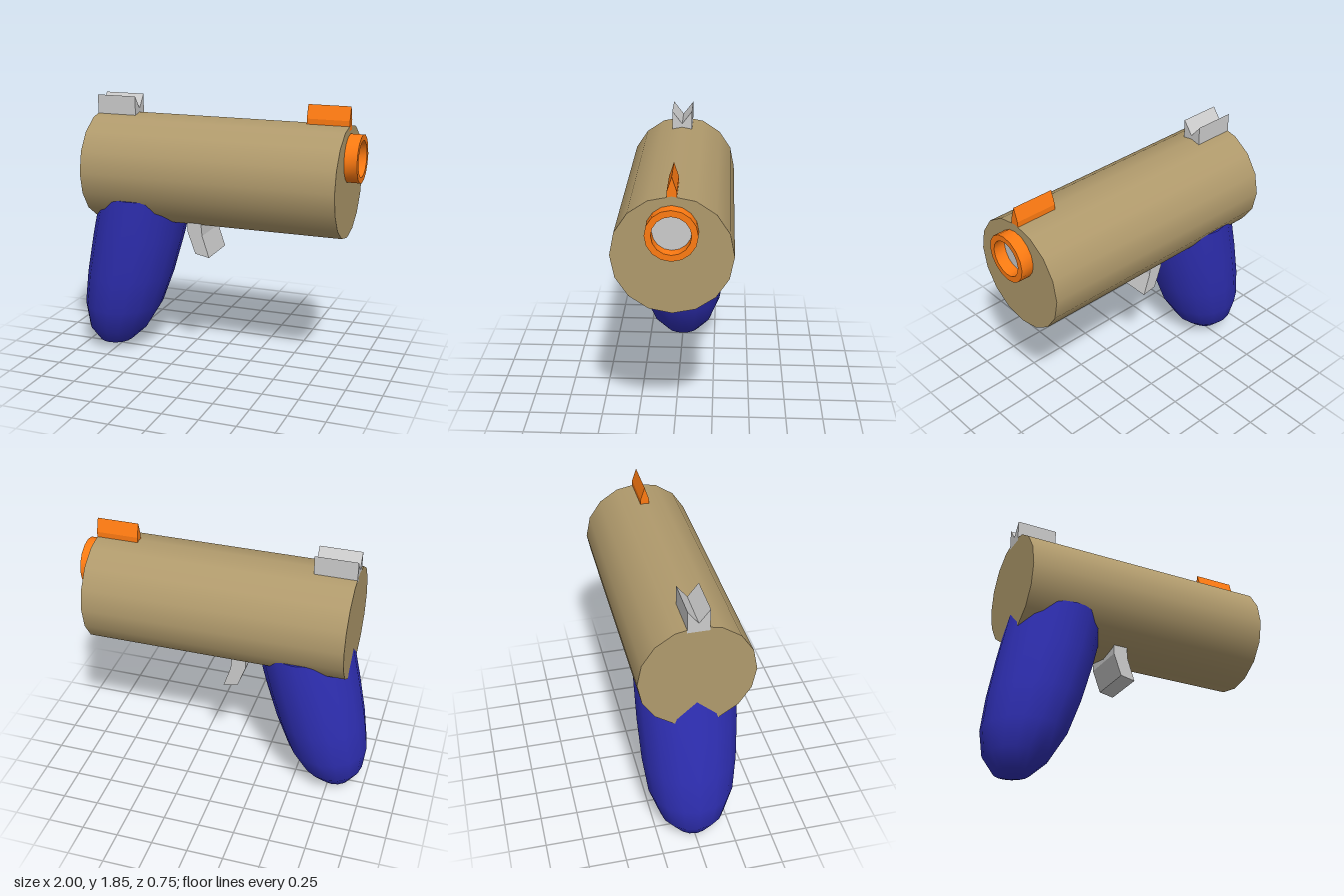
import * as THREE from 'three';
import { mergeVertices, toCreasedNormals } from 'three/addons/utils/BufferGeometryUtils.js';

export function createModel() {
  const model = new THREE.Group();
  const material = (color) => new THREE.MeshStandardMaterial({ color });
  const tan = material(0xb09a6c);
  const blue = material(0x2f2fb4);
  const orange = material(0xff7b12);
  const grey = material(0xcccccc);

  function add(name, geometry, mat, x = 0, y = 0, z = 0) {
    const mesh = new THREE.Mesh(geometry, mat);
    mesh.name = name;
    mesh.position.set(x, y, z);
    model.add(mesh);
    return mesh;
  }

  // Straight extrusion of an outline, starting at depth 0
  function prism(points, depth) {
    const shape = new THREE.Shape(points.map(([x, y]) => new THREE.Vector2(x, y)));
    return new THREE.ExtrudeGeometry(shape, { depth, bevelEnabled: false });
  }

  // Main body: a 16-sided drum lying along x
  add('body', new THREE.CylinderGeometry(0.375, 0.375, 1.765, 16).rotateZ(-Math.PI / 2), tan, 0.0325, 1.35);

  // Muzzle: a square-section ring with a disc at the bottom of its bore
  const ringProfile = [[0.12, 0], [0.16, 0], [0.16, 0.085], [0.12, 0.085], [0.12, 0]]
    .map(([r, h]) => new THREE.Vector2(r, h));
  const ring = new THREE.LatheGeometry(ringProfile, 16).rotateZ(-Math.PI / 2);
  add('muzzleRing', toCreasedNormals(ring, 0.6), orange, 0.915, 1.51);
  add('muzzleBore', new THREE.CircleGeometry(0.122, 16).rotateY(Math.PI / 2), grey, 0.92, 1.51);

  // Sights: outlines across z, swept along x
  const frontSight = [[-0.03, 1.69], [0.03, 1.69], [0.03, 1.755], [0, 1.845], [-0.03, 1.755]];
  add('frontSight', prism(frontSight, 0.285).rotateY(Math.PI / 2), orange, 0.63);
  const rearSight = [[-0.07, 1.69], [0.07, 1.69], [0.07, 1.84], [0, 1.75], [-0.07, 1.84]];
  add('rearSight', prism(rearSight, 0.28).rotateY(Math.PI / 2), grey, -0.85);

  // Trigger: a bent blade hanging under the body
  const trigger = [[-0.155, 1.04], [-0.155, 0.95], [-0.1, 0.8], [0, 0.78], [-0.05, 0.93], [-0.06, 1.04]];
  add('trigger', prism(trigger, 0.32), grey, 0, 0, -0.16);

  // Grip: rounded rings [radius, height, centre x] leaning back toward the foot
  const rings = [
    [0, 0, -0.8], [0.122, 0.04, -0.79], [0.219, 0.15, -0.765], [0.286, 0.33, -0.72],
    [0.316, 0.57, -0.66], [0.331, 0.86, -0.59], [0.335, 1.165, -0.52],
  ];
  let grip = new THREE.LatheGeometry(rings.map(([r, h]) => new THREE.Vector2(r, h)), 16);
  const pos = grip.attributes.position;
  for (let i = 0; i < pos.count; i++) {
    const centre = rings[i % rings.length][2];
    pos.setX(i, pos.getX(i) * 0.975 + centre);
  }
  grip.deleteAttribute('normal');
  grip.deleteAttribute('uv');
  grip = mergeVertices(grip);
  grip.computeVertexNormals();
  add('grip', grip, blue);
  const gripTop = new THREE.CircleGeometry(0.335, 16).rotateX(-Math.PI / 2).scale(0.975, 1, 1);
  add('gripTop', gripTop, blue, -0.52, 1.165);

  return model;
}
